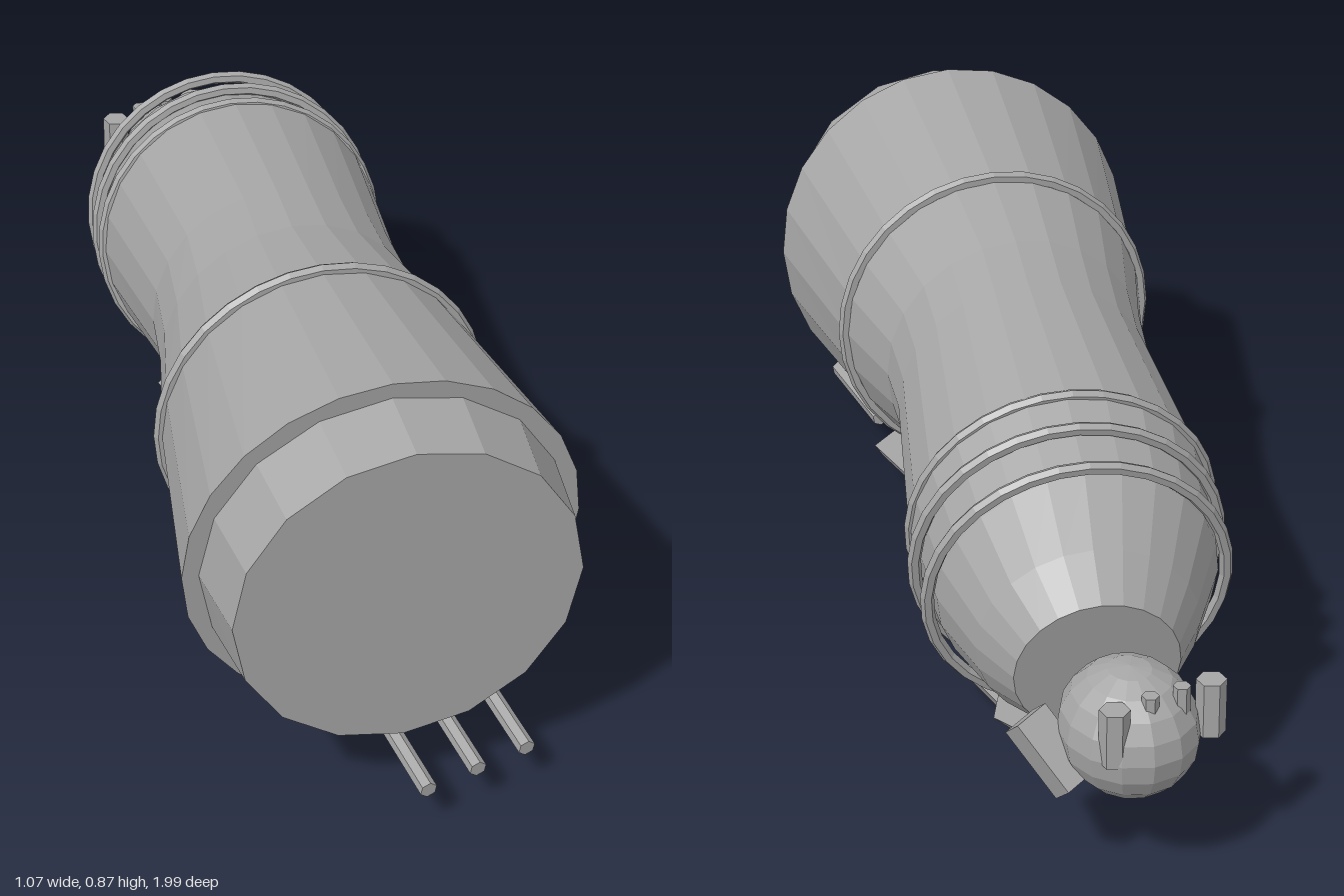
import * as THREE from 'three';

const V = (p) => new THREE.Vector3(...p);

// Lofts circles [centre, radius, axis] from front to back and closes both ends.
function loft(sections, sides) {
  const pos = [], idx = [], up = V([0, 1, 0]);
  for (const [c, r, axis] of sections) {
    const d = V(axis).normalize();
    const u = d.clone().cross(up).normalize();
    const v = u.clone().cross(d);
    for (let j = 0; j < sides; j++) {
      const a = (j / sides) * Math.PI * 2;
      const p = V(c).addScaledVector(u, r * Math.cos(a)).addScaledVector(v, r * Math.sin(a));
      pos.push(p.x, p.y, p.z);
    }
  }
  const last = sections.length - 1;
  const front = pos.length / 3, back = front + 1;
  pos.push(...sections[0][0], ...sections[last][0]);
  for (let j = 0; j < sides; j++) {
    const k = (j + 1) % sides;
    for (let i = 0; i < last; i++) {
      const a = i * sides, b = a + sides;
      idx.push(a + j, b + j, a + k, b + j, b + k, a + k);
    }
    idx.push(front, j, k, back, last * sides + k, last * sides + j);
  }
  const g = new THREE.BufferGeometry();
  g.setAttribute('position', new THREE.Float32BufferAttribute(pos, 3));
  g.setIndex(idx);
  g.computeVertexNormals();
  return g;
}

export function createModel() {
  const model = new THREE.Group();
  const grey = new THREE.MeshStandardMaterial({ color: 0xa6a6a6, flatShading: true });
  grey.name = 'grey';

  const add = (name, geometry, at = [0, 0, 0], parent = model) => {
    const m = new THREE.Mesh(geometry, grey);
    m.name = name;
    m.position.set(...at);
    parent.add(m);
    return m;
  };
  // Cylinder between two points
  const rod = (name, a, b, r, sides = 6) => {
    const A = V(a), B = V(b), dir = B.clone().sub(A);
    const m = add(name, new THREE.CylinderGeometry(r, r, dir.length(), sides));
    m.position.copy(A).lerp(B, 0.5);
    m.quaternion.setFromUnitVectors(V([0, 1, 0]), dir.normalize());
    return m;
  };

  // Waisted hull, bending down and to the left towards the back
  const rearAxis = [0.34, -0.21, -1];
  add('hull', loft([
    [[-0.165, 0.49, 0.745], 0.38, [0.28, 0.08, -1]],
    [[-0.045, 0.495, 0.34], 0.315, [0.28, 0, -1]],
    [[0.02, 0.505, 0.13], 0.267, [0.28, -0.02, -1]],
    [[0.07, 0.50, 0.0], 0.258, [0.32, -0.1, -1]],
    [[0.19, 0.435, -0.345], 0.292, rearAxis],
    [[0.255, 0.39, -0.53], 0.268, rearAxis],
    [[0.31, 0.365, -0.66], 0.21, rearAxis],
    [[0.34, 0.35, -0.745], 0.155, rearAxis],
  ], 24));

  // Blunt front cap
  add('frontCap', loft([
    [[-0.165, 0.49, 0.745], 0.348, [0.28, 0.06, -1]],
    [[-0.205, 0.483, 0.895], 0.33, [0.28, 0.03, -1]],
  ].reverse(), 16));

  // Hoops around the hull
  const hoops = [
    [[-0.045, 0.495, 0.34], 0.318, [0.28, -0.01, -1]],
    [[0.19, 0.432, -0.35], 0.29, rearAxis],
    [[0.225, 0.41, -0.435], 0.293, rearAxis],
    [[0.257, 0.39, -0.53], 0.285, rearAxis],
  ];
  for (const [c, r, axis] of hoops) {
    const h = add('hoop', new THREE.TorusGeometry(r, 0.013, 6, 32), c);
    h.quaternion.setFromUnitVectors(V([0, 0, 1]), V(axis).normalize().negate());
  }

  // Rounded tail head
  const head = add('head', new THREE.SphereGeometry(0.128, 14, 10), [0.342, 0.295, -0.86]);
  head.scale.z = 1.1;

  // Studs around the head
  for (const x of [0.22, 0.42]) rod('headStud', [x, 0.29, -0.94], [x, 0.4, -0.94], 0.028);
  for (const x of [0.285, 0.35]) rod('smallStud', [x, 0.34, -0.945], [x, 0.41, -0.945], 0.016);
  const block = add('sideBlock', new THREE.BoxGeometry(0.07, 0.06, 0.15), [0.475, 0.255, -0.81]);
  block.rotation.set(-0.85, 0.35, 0);
  add('headPad', new THREE.CylinderGeometry(0.035, 0.03, 0.01, 6), [0.342, 0.154, -0.81]);

  // Pointed keel under the rear hull
  const keel = new THREE.Group();
  keel.name = 'keel';
  keel.position.set(0.345, 0.15, -0.55);
  keel.rotation.set(0, 0.34, 0.3);
  model.add(keel);
  add('keelBlock', new THREE.CylinderGeometry(0.088, 0.088, 0.07, 4), [0, 0.005, 0], keel).rotation.y = Math.PI / 4;
  const tip = add('keelTip', new THREE.ConeGeometry(0.088, 0.04, 4), [0, -0.05, 0], keel);
  tip.rotation.set(Math.PI, Math.PI / 4, 0);

  // Stepped hexagonal plates floating below the hull
  const plate = (name, x, y, z, R) => {
    const g = new THREE.Group();
    g.name = name;
    g.position.set(x, y, z);
    model.add(g);
    const hex = (part, top, bottom, h, cy) =>
      add(part, new THREE.CylinderGeometry(R * top, R * bottom, h, 6), [0, cy, 0], g);
    hex('topTier', 1, 0.92, 0.027, 0.046);
    hex('middleTier', 0.58, 0.48, 0.013, 0.024);
    hex('lowerTier', 0.44, 0.38, 0.008, 0.014);
    for (const s of [-1, 0, 1])
      add('slat', new THREE.BoxGeometry(R * 0.36, 0.006, R * 0.12), [0, 0.003, s * R * 0.22], g);
    for (const s of [-1, 1])
      add('bead', new THREE.SphereGeometry(0.007, 6, 4), [s * R * 0.53, 0.009, 0], g);
  };
  plate('frontPlate', -0.08, 0.05, 0.475, 0.23);
  plate('rearPlate', 0.183, 0.003, -0.325, 0.185);
  add('hullPad', new THREE.CylinderGeometry(0.06, 0.05, 0.016, 6), [-0.06, 0.147, 0.43]);

  // Three forward rods
  for (const x of [-0.21, -0.1, 0.01])
    rod('frontRod', [x, 0.093, 0.985], [x + 0.045, 0.113, 0.69], 0.017);

  return model;
}
